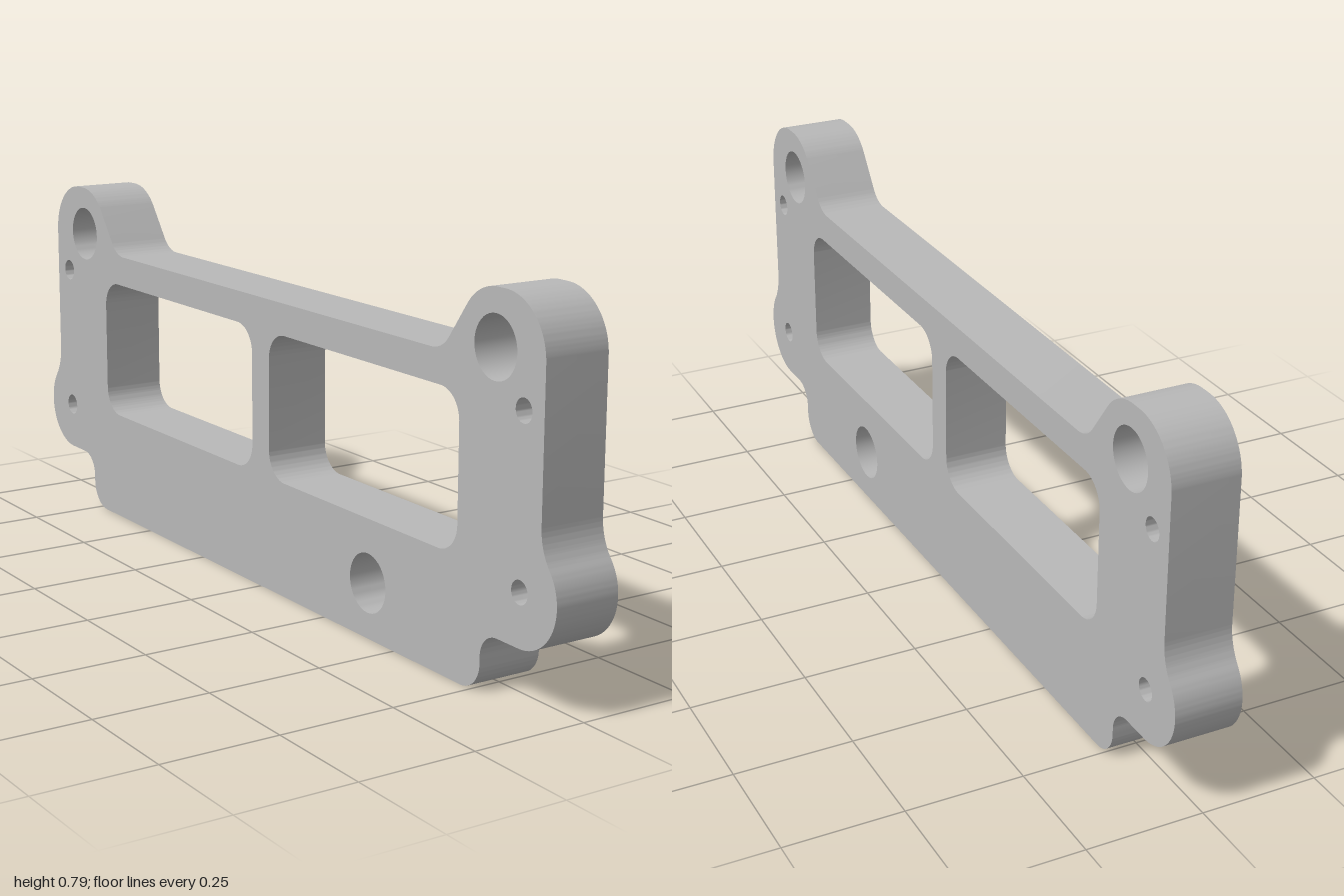
import * as THREE from 'three';
import { toCreasedNormals } from 'three/addons/utils/BufferGeometryUtils.js';

const THICKNESS = 0.144;
const rad = THREE.MathUtils.degToRad;

// Half of the outline, from the bottom edge round to the top rail; shape x becomes z
function halfOutline() {
  const path = new THREE.Path();
  const arc = (x, y, r, from, to) => path.absarc(x, y, r, rad(from), rad(to), to < from);
  path.moveTo(0.72, 0);
  arc(0.72, 0.06, 0.06, -90, 0);          // foot corner
  arc(0.83, 0.075, 0.05, 180, 90);        // inner fillet above the foot
  arc(0.895, 0.23, 0.105, -90, 38.5);     // lower side lobe
  arc(1.071, 0.37, 0.12, 218.5, 180);     // blend from lobe to side
  arc(0.833, 0.67, 0.118, 0, 90);         // outer side of the upper ear
  arc(0.81, 0.676, 0.112, 90, 143);       // inner side of the upper ear
  arc(0.612, 0.712, 0.068, 323, 270);     // fillet into the top rail
  return path.getPoints(20);
}

function roundHole(x, y, r) {
  return new THREE.Path().absarc(x, y, r, 0, Math.PI * 2, true);
}

function windowHole(x0, x1, y0, y1, r) {
  const path = new THREE.Path();
  path.absarc(x1 - r, y0 + r, r, rad(-90), 0);
  path.absarc(x1 - r, y1 - r, r, 0, rad(90));
  path.absarc(x0 + r, y1 - r, r, rad(90), rad(180));
  path.absarc(x0 + r, y0 + r, r, rad(180), rad(270));
  path.closePath();
  return path;
}

export function createModel() {
  const group = new THREE.Group();
  group.name = 'mountingBracket';
  const greyMetal = new THREE.MeshStandardMaterial({ color: 0xb8b8b8 });
  greyMetal.name = 'grey metal';

  const half = halfOutline();
  const mirrored = half.map(p => new THREE.Vector2(-p.x, p.y)).reverse();
  const shape = new THREE.Shape([...half, ...mirrored]);

  // Openings mirrored on both ends
  for (const s of [-1, 1]) {
    const edges = [s * 0.034, s * 0.703].sort((a, b) => a - b);
    shape.holes.push(
      windowHole(edges[0], edges[1], 0.254, 0.575, 0.06),
      roundHole(s * 0.807, 0.676, 0.063),
      roundHole(s * 0.893, 0.575, 0.024),
      roundHole(s * 0.893, 0.233, 0.024)
    );
  }
  // Single lower hole towards the front
  shape.holes.push(roundHole(0.408, 0.118, 0.063));

  let geometry = new THREE.ExtrudeGeometry(shape, {
    depth: THICKNESS, bevelEnabled: false, curveSegments: 20
  });
  geometry.translate(0, 0, -THICKNESS / 2);
  geometry.rotateY(-Math.PI / 2);
  geometry = toCreasedNormals(geometry, rad(35));

  const plate = new THREE.Mesh(geometry, greyMetal);
  plate.name = 'bracketPlate';
  group.add(plate);
  return group;
}
